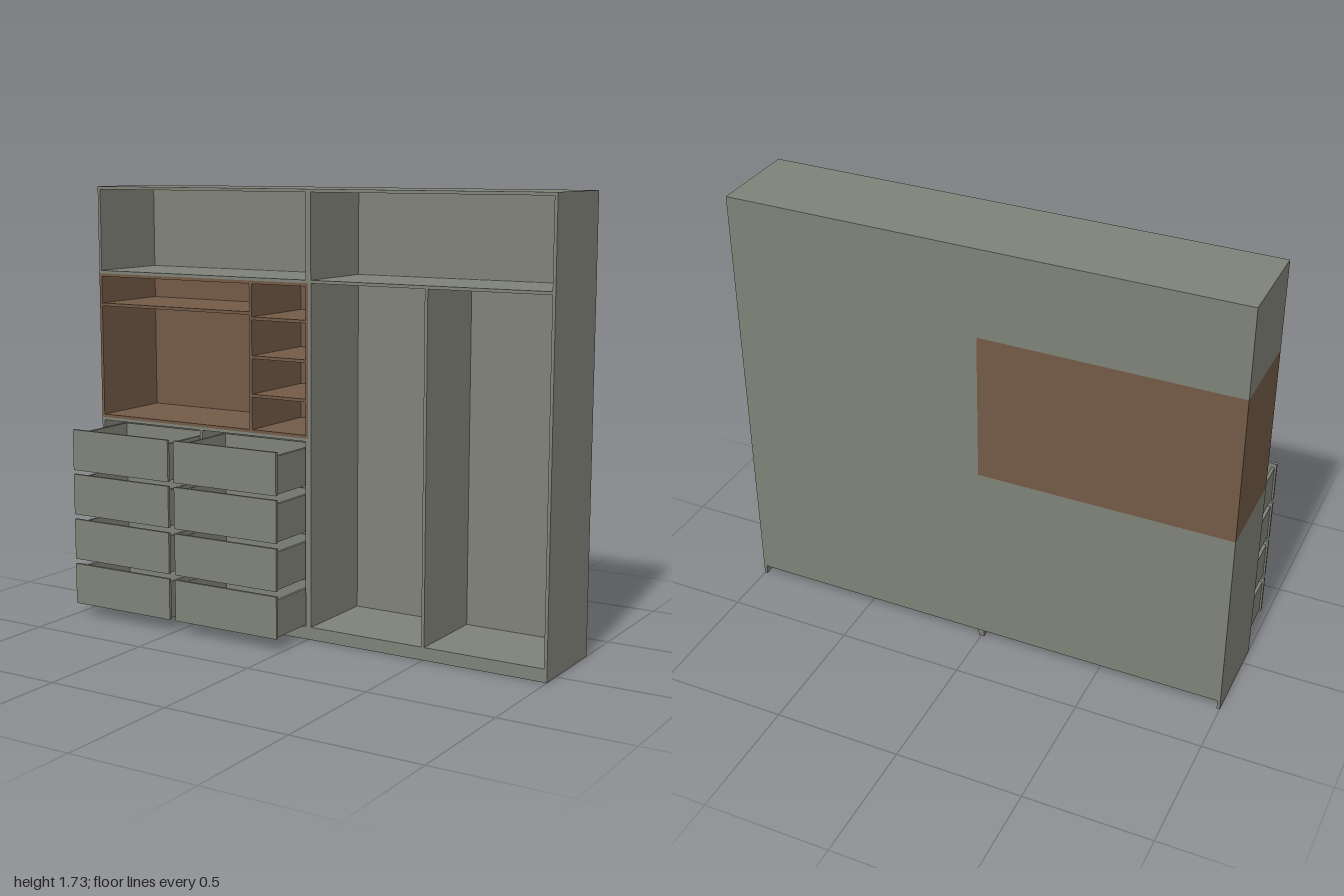
import * as THREE from 'three';

const T = 0.012;            // board thickness
const BACK = -0.285, FRONT = 0.08;

export function createModel() {
  const root = new THREE.Group();
  root.name = 'wardrobe';
  const grey = new THREE.MeshStandardMaterial({ color: 0x7f8278 });
  grey.name = 'grey board';
  const brown = new THREE.MeshStandardMaterial({ color: 0x735a47 });
  brown.name = 'brown board';

  // board given by its two extreme corners
  const board = (name, mat, x0, x1, y0, y1, z0, z1, parent = root) => {
    const mesh = new THREE.Mesh(new THREE.BoxGeometry(x1 - x0, y1 - y0, z1 - z0), mat);
    mesh.position.set((x0 + x1) / 2, (y0 + y1) / 2, (z0 + z1) / 2);
    mesh.name = name;
    parent.add(mesh);
  };
  const IN = BACK + T;      // inner face of the back panels
  const H = 1.73, LOW = 0.79, HIGH = 1.38, BASE = 0.05;

  // outer sides and central walls
  board('leftSide', grey, 1 - T, 1, 0, H - T, BACK, FRONT);
  board('rightSideLower', grey, -1, -1 + T, 0, LOW, BACK, FRONT);
  board('rightSideUpper', grey, -1, -1 + T, HIGH, H - T, BACK, FRONT);
  board('centreWall', grey, 0, T, 0, H - T, IN, FRONT);
  board('centreWallLower', grey, -T, 0, 0, LOW, IN, FRONT);
  board('centreWallUpper', grey, -T, 0, HIGH, H - T, IN, FRONT);
  board('top', grey, -1, 1, H - T, H, BACK, FRONT);

  // back panels
  board('backLeft', grey, 0, 1 - T, BASE - T, H - T, BACK, IN);
  board('backLower', grey, -1 + T, 0, BASE - T, LOW, BACK, IN);
  board('backUpper', grey, -1 + T, 0, HIGH, H - T, BACK, IN);

  // floors, plinths and high shelves of both bays
  for (const [x0, x1] of [[-1 + T, -T], [T, 1 - T]]) {
    board('floor', grey, x0, x1, BASE - T, BASE, IN, FRONT);
    board('plinth', grey, x0, x1, 0, BASE - T, FRONT - T, FRONT);
    board('highShelf', grey, x0, x1, HIGH, HIGH + T, IN, FRONT);
  }

  // hanging bay and drawer bay dividers
  board('hangingDivider', grey, 0.494, 0.506, BASE, HIGH, IN, FRONT);
  board('drawerDivider', grey, -0.506, -0.494, BASE, LOW - T, IN, FRONT);
  board('drawerBayTop', grey, -1 + T, -T, LOW - T, LOW, IN, FRONT);

  // brown open unit
  const niche = new THREE.Group();
  niche.name = 'brownUnit';
  root.add(niche);
  board('nicheSide', brown, -1, -1 + T, LOW, HIGH, BACK, FRONT, niche);
  board('nicheInnerSide', brown, -T, 0, LOW, HIGH, IN, FRONT, niche);
  board('nicheBack', brown, -1 + T, 0, LOW, HIGH, BACK, IN, niche);
  board('nicheFloor', brown, -1 + T, -T, LOW, LOW + T, IN, FRONT, niche);
  board('nicheTop', brown, -1 + T, -T, HIGH - T, HIGH, IN, FRONT, niche);
  board('nicheDivider', brown, -0.268, -0.256, LOW + T, HIGH - T, IN, FRONT, niche);
  board('wideShelf', brown, -1 + T, -0.268, 1.248, 1.26, IN, FRONT, niche);
  for (const y of [0.935, 1.085, 1.235])
    board('smallShelf', brown, -0.256, -T, y - T / 2, y + T / 2, IN, FRONT, niche);

  // pulled-out drawers, two columns of four
  const back = -0.05, face = 0.273;
  for (const x of [-0.75, -0.25]) {
    for (const y of [0.05, 0.235, 0.42, 0.602]) {
      const d = new THREE.Group();
      d.name = 'drawer';
      d.position.set(x, y, 0);
      root.add(d);
      board('drawerFront', grey, -0.236, 0.236, 0, 0.165, face, 0.285, d);
      for (const s of [-1, 1])
        board('drawerSide', grey, s * 0.223 - T / 2, s * 0.223 + T / 2, 0.002, 0.148, back, face, d);
      board('drawerBack', grey, -0.217, 0.217, 0.002, 0.148, back, back + T, d);
      board('drawerBottom', grey, -0.217, 0.217, 0.002, 0.002 + T, back + T, face, d);
    }
  }
  return root;
}
